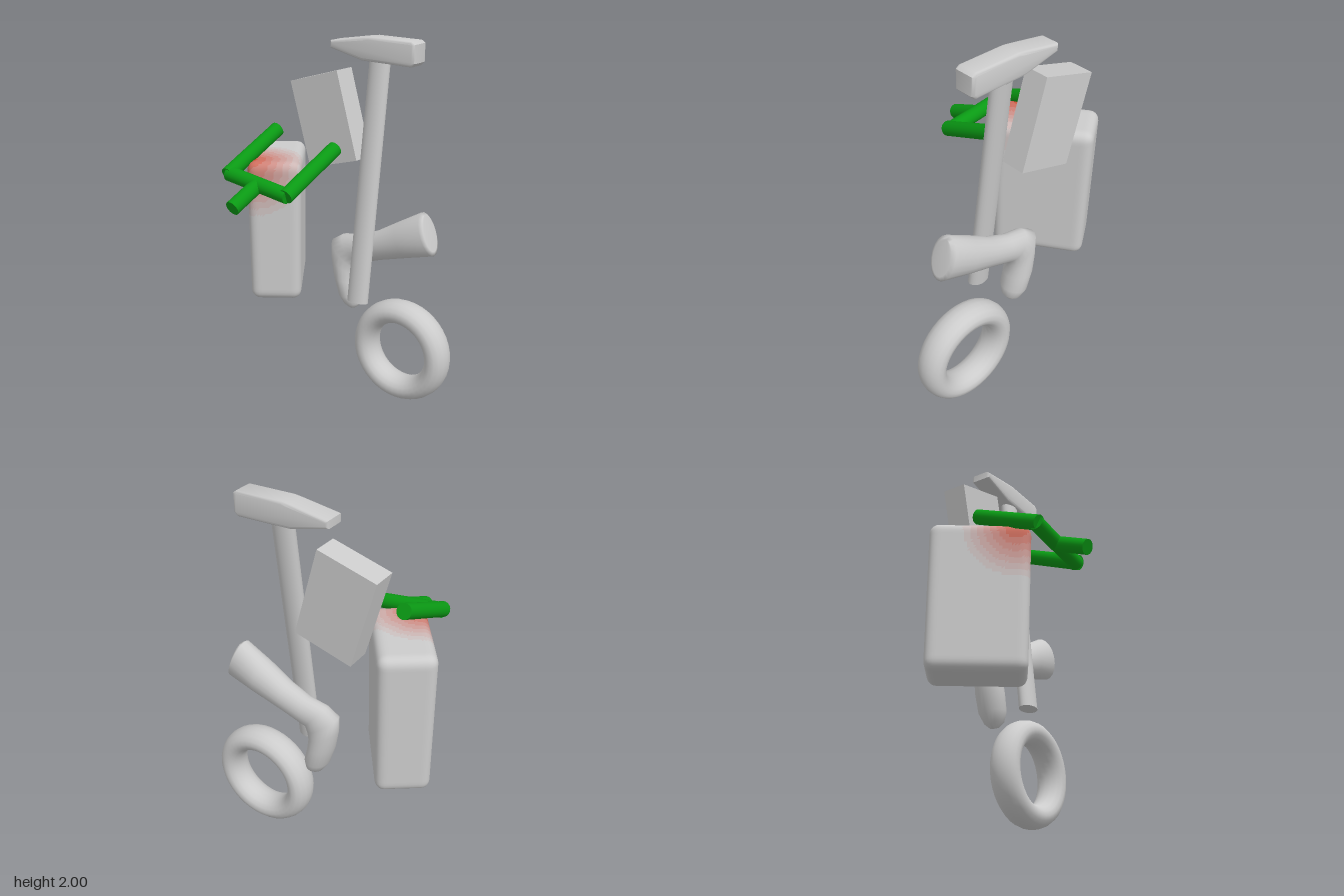
import * as THREE from 'three';
import { mergeVertices, toCreasedNormals } from 'three/addons/utils/BufferGeometryUtils.js';

const mat = (color = 0xcccccc) => new THREE.MeshStandardMaterial({ color });
const grey = mat();
const green = mat(0x0a9a14);
const V = (x, y, z) => new THREE.Vector3(x, y, z);

function add(parent, name, geometry, material = grey) {
  const mesh = new THREE.Mesh(geometry, material);
  mesh.name = name;
  parent.add(mesh);
  return mesh;
}

// Round bar between two points
function bar(parent, name, a, b, r0, r1, material, sides = 24) {
  const mesh = add(parent, name, new THREE.CylinderGeometry(r1, r0, a.distanceTo(b), sides), material);
  mesh.position.copy(a).lerp(b, 0.5);
  mesh.quaternion.setFromUnitVectors(V(0, 1, 0), b.clone().sub(a).normalize());
  return mesh;
}

// Box with rounded edges and an even grid on its faces
function softBox(w, h, d, r, nx, ny, nz) {
  let geo = new THREE.BoxGeometry(w, h, d, nx, ny, nz);
  geo.deleteAttribute('normal');
  geo.deleteAttribute('uv');
  geo = mergeVertices(geo);
  const pos = geo.attributes.position;
  const limit = V(w / 2 - r, h / 2 - r, d / 2 - r);
  const p = V(0, 0, 0);
  for (let i = 0; i < pos.count; i++) {
    p.fromBufferAttribute(pos, i);
    const core = p.clone().clamp(limit.clone().negate(), limit);
    p.sub(core).setLength(r).add(core);
    const taper = 0.98 + 0.02 * (p.y / (h / 2)); // narrower at the foot
    pos.setXYZ(i, p.x * taper, p.y, p.z * taper);
  }
  geo.computeVertexNormals();
  return geo;
}

// Upright case whose red corner fades to grey in bands
function makeCase(root) {
  const group = new THREE.Group();
  group.name = 'case';
  group.position.set(-0.387, 0.965, -0.148);
  group.rotation.y = 0.607;
  root.add(group);
  group.updateMatrix();
  const geo = softBox(0.287, 0.79, 0.515, 0.05, 18, 48, 32);
  const pos = geo.attributes.position;
  const idx = geo.index.array;
  const bands = 8;
  const lists = Array.from({ length: bands + 1 }, () => []);
  const hot = V(-0.37, 1.33, 0.06).applyMatrix4(group.matrix.clone().invert());
  const p = V(0, 0, 0), q = V(0, 0, 0);
  for (let i = 0; i < idx.length; i += 3) {
    p.set(0, 0, 0);
    for (let k = 0; k < 3; k++) p.add(q.fromBufferAttribute(pos, idx[i + k]));
    const t = Math.min(1, p.divideScalar(3).distanceTo(hot) / 0.27);
    lists[Math.floor(t * bands)].push(idx[i], idx[i + 1], idx[i + 2]);
  }
  lists.forEach((list, n) => {
    if (!list.length) return;
    const part = new THREE.BufferGeometry();
    part.setAttribute('position', pos);
    part.setAttribute('normal', geo.attributes.normal);
    part.setIndex(list);
    const color = new THREE.Color(0xd0573c).lerp(new THREE.Color(0xcccccc), n / bands);
    add(group, n === bands ? 'caseBody' : 'caseRedPatch' + n, part, n === bands ? grey : mat(color));
  });
}

// Leg and foot: ovals lofted between an outer and an inner outline
function legGeometry() {
  // outer x, y, inner x, y, half depth
  const sections = [
    [0.455, 1.115, 0.523, 0.925, 0.06], [0.435, 1.125, 0.523, 0.9, 0.08],
    [0.3, 1.045, 0.37, 0.855, 0.085], [0.17, 0.965, 0.21, 0.805, 0.073],
    [0.05, 0.915, 0.09, 0.76, 0.065], [-0.06, 0.895, 0.055, 0.75, 0.067],
    [-0.13, 0.85, 0.045, 0.715, 0.072], [-0.127, 0.76, 0.038, 0.68, 0.075],
    [-0.105, 0.65, 0.043, 0.63, 0.082], [-0.07, 0.54, 0.062, 0.55, 0.078],
    [-0.035, 0.485, 0.06, 0.5, 0.055], [0.0, 0.46, 0.04, 0.472, 0.025],
  ];
  const n = 20, points = [], index = [];
  for (const [ox, oy, ix, iy, w] of sections) {
    for (let j = 0; j < n; j++) {
      const a = (j / n) * Math.PI * 2, c = Math.cos(a) / 2;
      points.push((ox + ix) / 2 + (ox - ix) * c, (oy + iy) / 2 + (oy - iy) * c, -0.325 + w * Math.sin(a));
    }
  }
  for (let i = 0; i < sections.length - 1; i++) {
    for (let j = 0; j < n; j++) {
      const a = i * n + j, b = i * n + ((j + 1) % n);
      index.push(a, a + n, b, b, a + n, b + n);
    }
  }
  const last = (sections.length - 1) * n;
  for (let j = 1; j < n - 1; j++) index.push(0, j, j + 1, last, last + j + 1, last + j);
  const geo = new THREE.BufferGeometry();
  geo.setAttribute('position', new THREE.Float32BufferAttribute(points, 3));
  geo.setIndex(index);
  geo.computeVertexNormals();
  return geo;
}

export function createModel() {
  const root = new THREE.Group();

  makeCase(root);

  // Tilted slab
  const slab = add(root, 'slab', new THREE.BoxGeometry(0.322, 0.485, 0.135));
  slab.position.set(-0.17, 1.537, -0.343);
  slab.rotation.z = 0.28;

  // Hammer: oval handle and wedge-nosed head
  const hammer = new THREE.Group();
  hammer.name = 'hammer';
  root.add(hammer);
  const handle = bar(hammer, 'hammerHandle', V(0.132, 0.58, -0.192), V(0.14, 1.9, -0.35), 0.063, 0.06, grey);
  handle.scale.z = 0.66;
  const outline = [[-0.13, 1.95], [-0.13, 1.935], [0.06, 1.89], [0.345, 1.885], [0.355, 1.895],
    [0.355, 1.975], [0.345, 1.982], [0.1, 1.985], [0.06, 1.98]];
  const headShape = new THREE.Shape(outline.map(([x, y]) => new THREE.Vector2(x, y)));
  const headGeo = new THREE.ExtrudeGeometry(headShape, {
    depth: 0.086, bevelThickness: 0.016, bevelSize: 0.015, bevelSegments: 3, curveSegments: 4,
  });
  headGeo.translate(0, 0, -0.398);
  add(hammer, 'hammerHead', toCreasedNormals(headGeo, 0.7));

  add(root, 'leg', legGeometry());

  // Ring, a little deeper than its rim is wide
  const ring = add(root, 'ring', new THREE.TorusGeometry(0.229, 0.065, 16, 40));
  ring.position.set(0.345, 0.295, -0.323);
  ring.scale.z = 1.32;

  // Green two-pronged gripper
  const gripper = new THREE.Group();
  gripper.name = 'gripper';
  root.add(gripper);
  const r = 0.04;
  bar(gripper, 'gripperStem', V(-0.235, 1.205, 0.395), V(-0.223, 1.286, 0.21), r, r, green);
  bar(gripper, 'gripperCrossbar', V(-0.42, 1.311, 0.21), V(-0.028, 1.261, 0.21), r, r, green);
  bar(gripper, 'gripperRightProng', V(-0.415, 1.308, 0.225), V(-0.398, 1.478, -0.165), r, r, green);
  bar(gripper, 'gripperLeftProng', V(-0.03, 1.262, 0.225), V(-0.01, 1.43, -0.165), r, r, green);

  return root;
}
